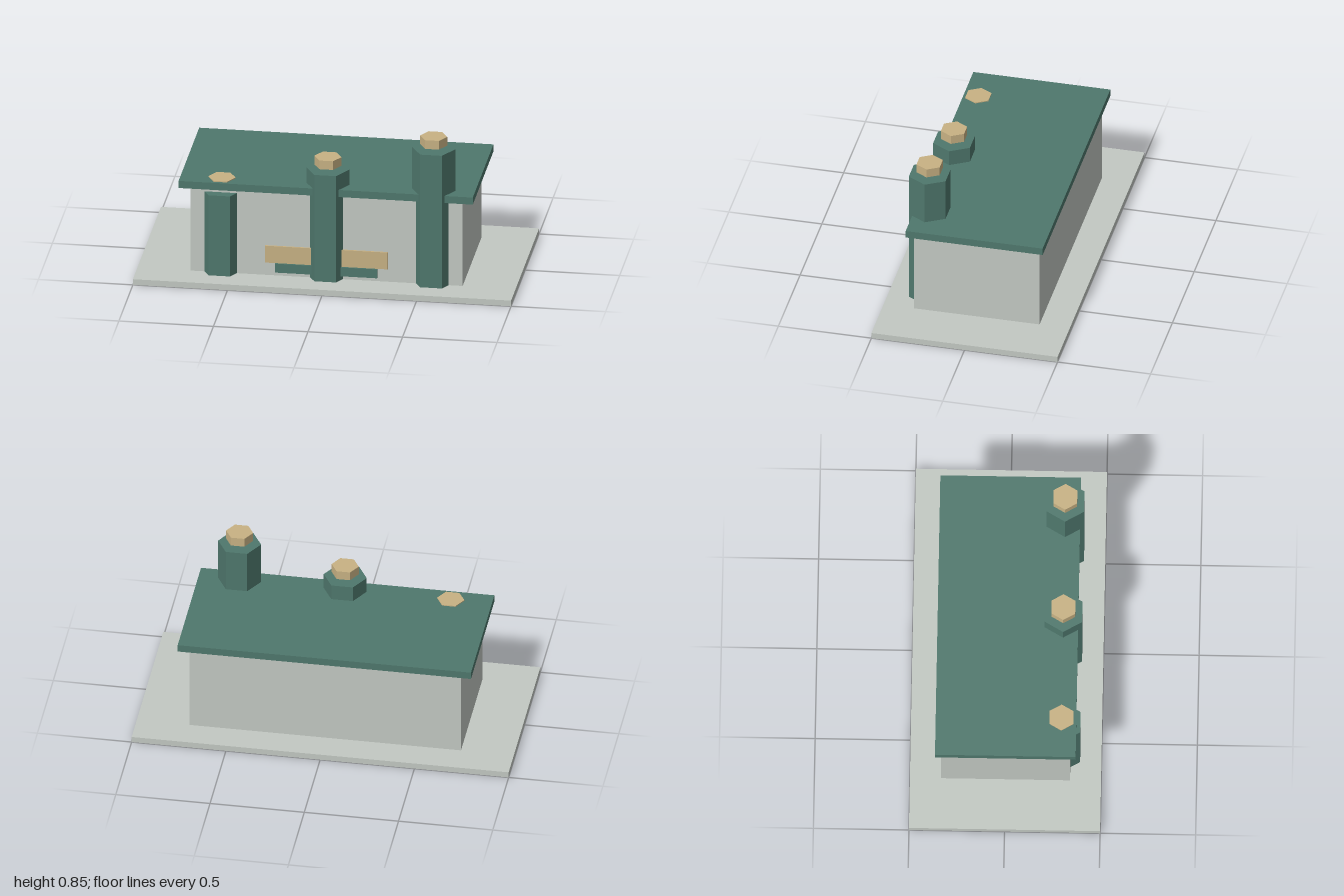
import * as THREE from 'three';

const wallGrey = new THREE.MeshStandardMaterial({ color: 0xc3c9c3 });
wallGrey.name = 'paleGrey';
const green = new THREE.MeshStandardMaterial({ color: 0x4f786d });
green.name = 'mutedGreen';
const tan = new THREE.MeshStandardMaterial({ color: 0xc8b284 });
tan.name = 'tan';

// Box given by its lower and upper corners
function box(name, material, [x0, y0, z0], [x1, y1, z1]) {
  const mesh = new THREE.Mesh(new THREE.BoxGeometry(x1 - x0, y1 - y0, z1 - z0), material);
  mesh.position.set((x0 + x1) / 2, (y0 + y1) / 2, (z0 + z1) / 2);
  mesh.name = name;
  return mesh;
}

// Upright hexagonal prism with a flat side facing the front
function hexPrism(name, material, radius, x, z, y0, y1) {
  const geometry = new THREE.CylinderGeometry(radius, radius, y1 - y0, 6).toNonIndexed();
  geometry.rotateY(Math.PI / 6);
  geometry.computeVertexNormals();
  const mesh = new THREE.Mesh(geometry, material);
  mesh.position.set(x, (y0 + y1) / 2, z);
  mesh.name = name;
  return mesh;
}

export function createModel() {
  const model = new THREE.Group();
  model.name = 'building';

  // Base slab, walls and overhanging roof
  model.add(
    box('baseSlab', wallGrey, [-1, 0, -0.5], [1, 0.032, 0.5]),
    box('walls', wallGrey, [-0.72, 0.032, -0.338], [0.72, 0.508, 0.338]),
    box('roof', green, [-0.778, 0.508, -0.368], [0.778, 0.548, 0.368]),
  );

  // Ridge beam, its ends just showing on the side walls
  model.add(box('ridgeBeam', green, [-0.721, 0.487, -0.015], [0.721, 0.51, 0.015]));

  // Front panel and the sill below it
  model.add(
    box('frontPanel', tan, [-0.325, 0.105, 0.338], [0.325, 0.2, 0.347]),
    box('frontSill', green, [-0.27, 0.055, 0.338], [0.27, 0.105, 0.356]),
  );

  // Three hexagonal columns of rising height, each with a cap hovering above
  const names = ['short', 'middle', 'tall'];
  names.forEach((size, i) => {
    const x = (i - 1) * 0.56;
    const top = 0.485 + i * 0.149;
    model.add(
      hexPrism(size + 'Column', green, 0.114, x, 0.29, 0.032, top),
      hexPrism(size + 'ColumnCap', tan, 0.072, x, 0.29, top + 0.019, top + 0.068),
    );
  });

  return model;
}
